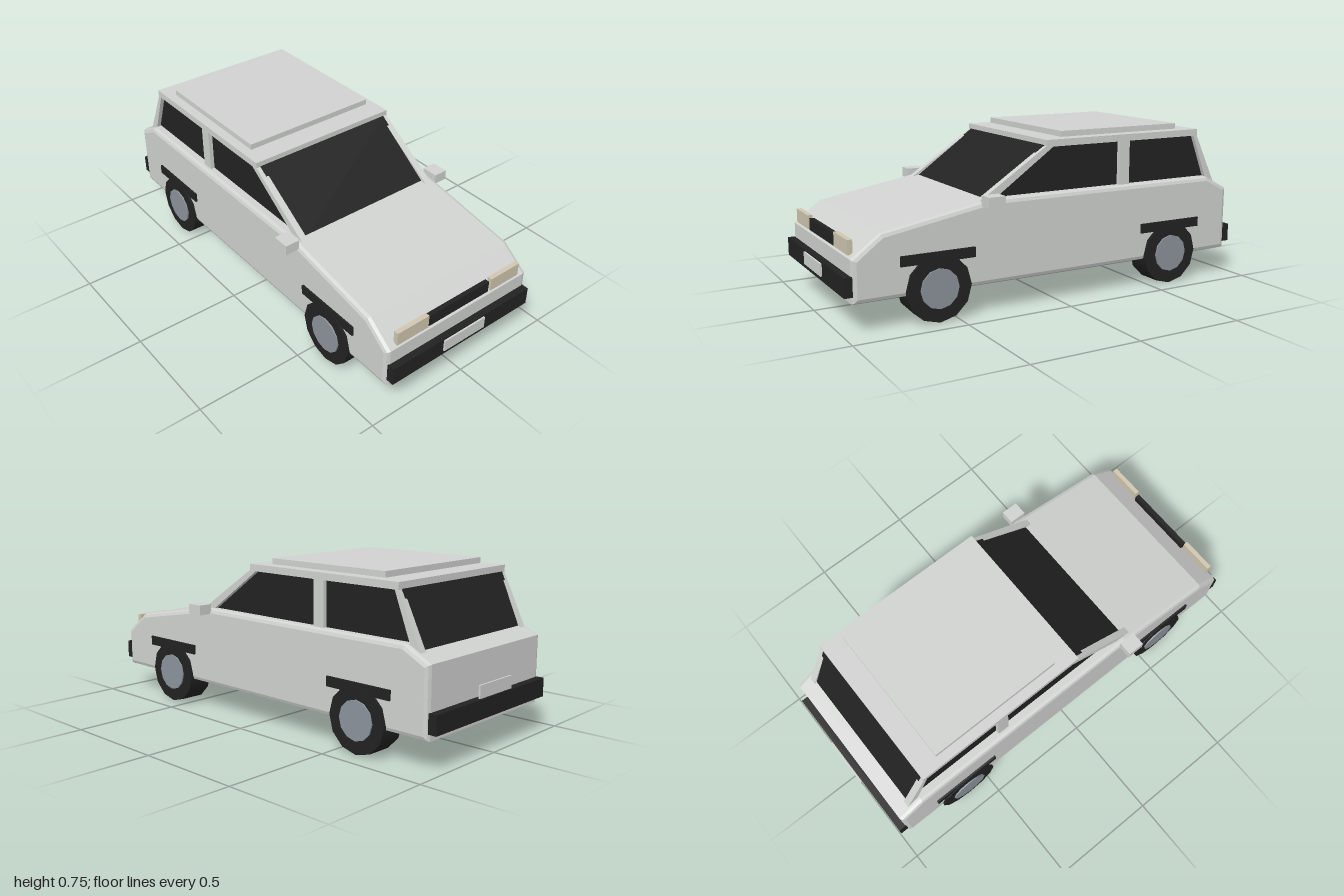
import * as THREE from 'three';

const material = (name, color, side = THREE.FrontSide) => {
  const m = new THREE.MeshStandardMaterial({ color, side });
  m.name = name;
  return m;
};

export function createModel() {
  const car = new THREE.Group();
  car.name = 'car';
  const paint = material('silver paint', 0xd0d2d0);
  const black = material('black glass and trim', 0x222222);
  const cream = material('headlight cream', 0xd0c6b0);
  const steel = material('wheel steel', 0x8c939b);

  const add = (name, geometry, mat) => {
    const mesh = new THREE.Mesh(geometry, mat);
    mesh.name = name;
    car.add(mesh);
    return mesh;
  };

  // Box given by its limits on each axis
  const box = (name, mat, [x0, x1], [y0, y1], [z0, z1]) => {
    const g = new THREE.BoxGeometry(x1 - x0, y1 - y0, z1 - z0);
    g.translate((x0 + x1) / 2, (y0 + y1) / 2, (z0 + z1) / 2);
    return add(name, g, mat);
  };

  // Side profile of [z, y] points swept across x, with an optional bevel
  const prism = (name, mat, points, [x0, x1], bevel = 0) => {
    const shape = new THREE.Shape(points.map(([z, y]) => new THREE.Vector2(z, y)));
    const g = new THREE.ExtrudeGeometry(shape, {
      depth: x1 - x0 - 2 * bevel,
      bevelEnabled: bevel > 0,
      bevelThickness: bevel,
      bevelSize: bevel,
      bevelOffset: -bevel,
      bevelSegments: 2,
    });
    g.rotateY(-Math.PI / 2);
    g.translate(x1 - bevel, 0, 0);
    return add(name, g, mat);
  };

  // Lower body
  prism('body', paint, [
    [0.96, 0.127], [0.96, 0.31], [0.835, 0.405], [0.34, 0.493],
    [-0.835, 0.493], [-0.957, 0.43], [-0.957, 0.127],
  ], [-0.405, 0.405], 0.02);

  // Cabin glass, roof and roof panel
  prism('cabinGlass', black,
    [[0.365, 0.48], [0.056, 0.7], [-0.783, 0.7], [-0.89, 0.455]], [-0.355, 0.355]);
  box('roof', paint, [-0.376, 0.376], [0.693, 0.724], [-0.785, 0.055]);
  box('roofPanel', paint, [-0.333, 0.333], [0.727, 0.753], [-0.685, -0.045]);

  // Parts mirrored on both sides
  for (const s of [-1, 1]) {
    const side = s > 0 ? 'left' : 'right';
    const span = (a, b) => (s > 0 ? [a, b] : [-b, -a]);

    prism(side + 'FrontPillar', paint,
      [[0.39, 0.48], [0.052, 0.7], [0.01, 0.7], [0.325, 0.48]], span(0.343, 0.375));
    box(side + 'MiddlePillar', paint, span(0.343, 0.375), [0.48, 0.7], [-0.39, -0.335]);
    prism(side + 'RearPillar', paint,
      [[-0.762, 0.7], [-0.781, 0.7], [-0.9, 0.455], [-0.857, 0.455]], span(0.343, 0.375));
    box(side + 'Mirror', paint, span(0.398, 0.465), [0.47, 0.516], [0.305, 0.385]);
    box(side + 'Headlight', cream, span(0.18, 0.35), [0.32, 0.382], [0.935, 0.957]);

    // Wheels with hub caps and arch trims
    for (const [end, z] of [['Front', 0.59], ['Rear', -0.61]]) {
      const tyre = new THREE.CylinderGeometry(0.147, 0.147, 0.116, 12);
      tyre.rotateZ(Math.PI / 2);
      add(side + end + 'Tyre', tyre, black).position.set(s * 0.358, 0.147, z);
      const hub = new THREE.CylinderGeometry(0.087, 0.087, 0.04, 12);
      hub.rotateZ(Math.PI / 2);
      add(side + end + 'Hub', hub, steel).position.set(s * 0.403, 0.147, z);
      box(side + end + 'ArchTrim', black, span(0.385, 0.414), [0.259, 0.303], [z - 0.168, z + 0.168]);
    }
  }

  // Grille, bumpers and blank plates
  box('grille', black, [-0.172, 0.172], [0.317, 0.37], [0.93, 0.952]);
  box('frontBumper', black, [-0.395, 0.395], [0.158, 0.242], [0.95, 0.992]);
  box('rearBumper', black, [-0.395, 0.395], [0.158, 0.242], [-0.992, -0.95]);
  box('frontPlate', paint, [-0.117, 0.117], [0.18, 0.236], [0.991, 1]);
  box('rearPlate', paint, [-0.117, 0.117], [0.25, 0.306], [-1, -0.992]);

  return car;
}
